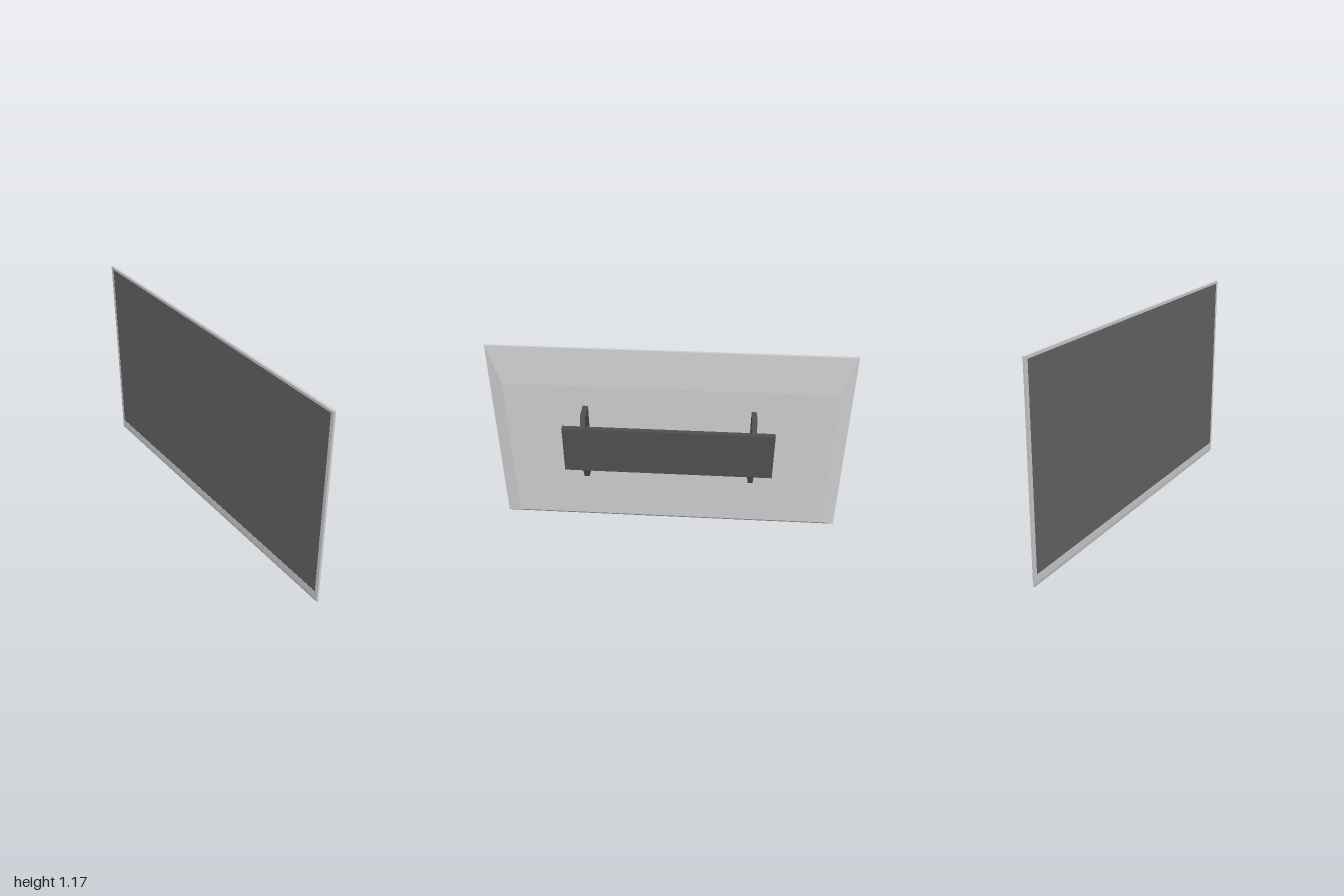
import * as THREE from 'three';

const W = 2, H = 1.17;                       // overall panel size
const Z_FRONT = 0.083, Z_RIM = 0.07, Z_BACK = 0.05;
const SCREEN = { x: 0.981, y0: 0.062, y1: 1.155 };

const grey = new THREE.MeshStandardMaterial({ color: 0xcccccc });
const screenGrey = new THREE.MeshStandardMaterial({ color: 0x636363 });
const mountGrey = new THREE.MeshStandardMaterial({ color: 0x4f4f4f });

function addMesh(parent, name, geometry, material) {
  const mesh = new THREE.Mesh(geometry, material);
  mesh.name = name;
  parent.add(mesh);
  return mesh;
}

// Box given by its limits on each axis
function boxBetween(x0, x1, y0, y1, z0, z1) {
  return new THREE.BoxGeometry(x1 - x0, y1 - y0, z1 - z0)
    .translate((x0 + x1) / 2, (y0 + y1) / 2, (z0 + z1) / 2);
}

// Profile of [z, y] points extruded along x from x0 to x1
function extrudeAlongX(points, x0, x1) {
  const shape = new THREE.Shape(points.map(([z, y]) => new THREE.Vector2(-z, y)));
  return new THREE.ExtrudeGeometry(shape, { depth: x1 - x0, bevelEnabled: false })
    .rotateY(Math.PI / 2).translate(x0, 0, 0);
}

// Back shell: a box whose rear face is drawn in, most of all at the top
function backShellGeometry() {
  const geometry = boxBetween(-W / 2, W / 2, 0, H, Z_BACK, Z_RIM);
  const p = geometry.attributes.position;
  for (let i = 0; i < p.count; i++) {
    if (p.getZ(i) > (Z_BACK + Z_RIM) / 2) continue;
    p.setX(i, Math.sign(p.getX(i)) * 0.925);
    p.setY(i, p.getY(i) > H / 2 ? 0.945 : 0.025);
  }
  geometry.computeVertexNormals();
  return geometry;
}

export function createModel() {
  const model = new THREE.Group();
  model.name = 'wallMountedDisplay';

  // Display panel
  const panel = new THREE.Group();
  panel.name = 'panel';
  model.add(panel);
  addMesh(panel, 'backShell', backShellGeometry(), grey);

  // Thin bezel around the top and sides
  const { x, y0, y1 } = SCREEN;
  const outline = [[-1, y0], [-x, y0], [-x, y1], [x, y1], [x, y0], [1, y0], [1, H], [-1, H]];
  const bezel = new THREE.ExtrudeGeometry(
    new THREE.Shape(outline.map(([px, py]) => new THREE.Vector2(px, py))),
    { depth: Z_FRONT - Z_RIM, bevelEnabled: false }
  ).translate(0, 0, Z_RIM);
  addMesh(panel, 'bezel', bezel, grey);

  // Deeper lower bezel with a slightly slanted bottom edge
  const chin = [[Z_RIM, 0], [0.08, 0], [Z_FRONT, 0.02], [Z_FRONT, y0], [Z_RIM, y0]];
  addMesh(panel, 'lowerBezel', extrudeAlongX(chin, -1, 1), grey);

  addMesh(panel, 'screen', boxBetween(-x, x, y0, y1, Z_RIM, Z_FRONT - 0.001), screenGrey);

  // Wall mount: two chamfered brackets joined by a plate
  const mount = new THREE.Group();
  mount.name = 'wallMount';
  model.add(mount);
  const bracket = [
    [Z_BACK, 0.395], [Z_BACK, 0.817], [-0.052, 0.817],
    [-0.081, 0.75], [-0.081, 0.462], [-0.052, 0.395],
  ];
  for (const [name, cx] of [['leftBracket', 0.47], ['rightBracket', -0.47]]) {
    addMesh(mount, name, extrudeAlongX(bracket, cx - 0.015, cx + 0.015), mountGrey);
  }
  addMesh(mount, 'wallPlate', boxBetween(-0.588, 0.588, 0.461, 0.749, -0.083, -0.054), mountGrey);

  return model;
}
